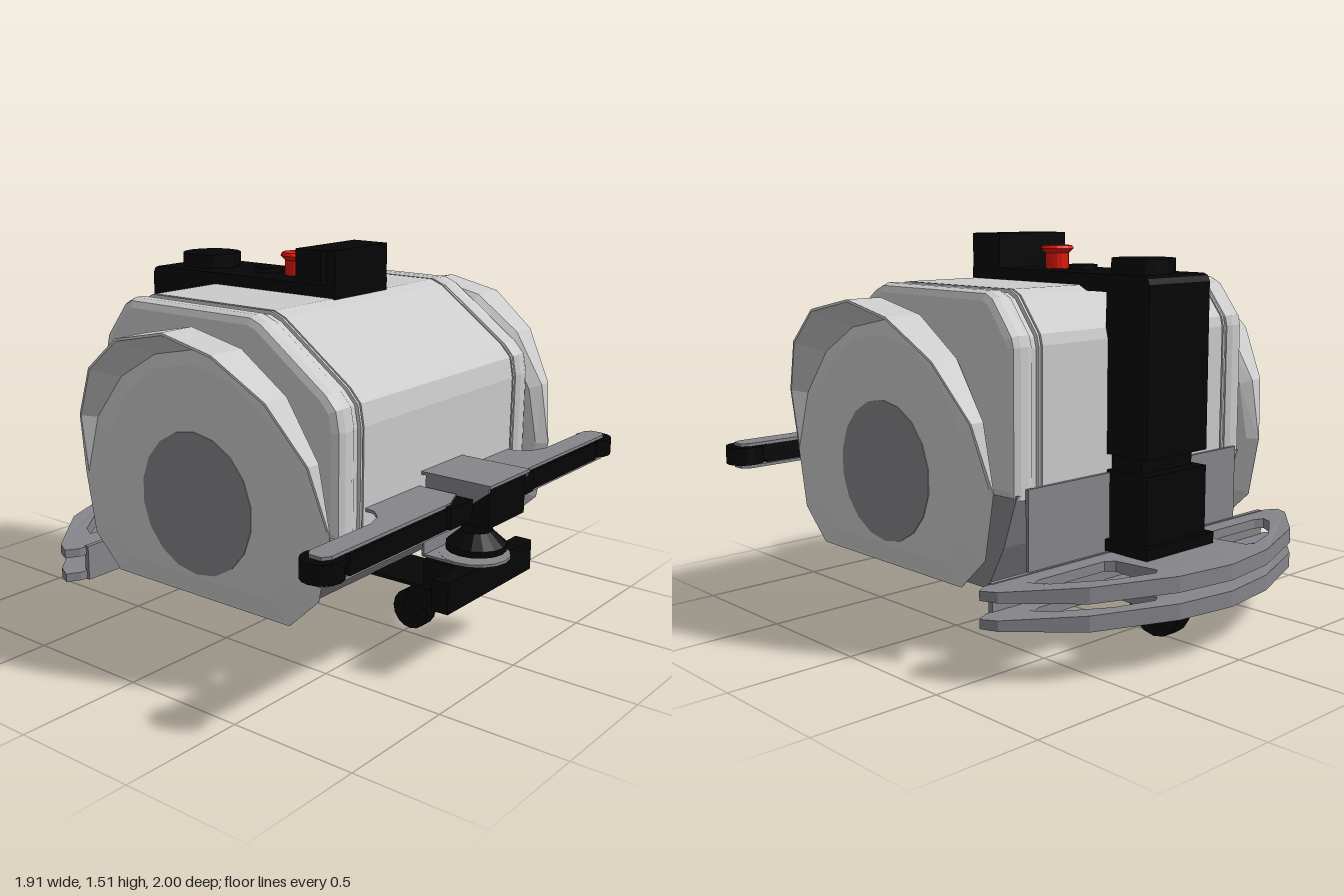
import * as THREE from 'three';

const mat = (color) => new THREE.MeshStandardMaterial({ color, flatShading: true, side: THREE.DoubleSide });
const LIGHT = mat(0xcccccc), GREY = mat(0x85858b), BLACK = mat(0x050505), RED = mat(0xe01808);

export function createModel() {
  const root = new THREE.Group();
  const add = (name, geo, m) => {
    const mesh = new THREE.Mesh(geo, m);
    mesh.name = name;
    root.add(mesh);
    return mesh;
  };
  // Box given by its limits
  const box = (name, m, x0, x1, y0, y1, z0, z1) =>
    add(name, new THREE.BoxGeometry(x1 - x0, y1 - y0, z1 - z0)
      .translate((x0 + x1) / 2, (y0 + y1) / 2, (z0 + z1) / 2), m);
  // Upright cylinder given by its base and top
  const post = (name, m, x, z, y0, y1, r) =>
    add(name, new THREE.CylinderGeometry(r, r, y1 - y0, 16).translate(x, (y0 + y1) / 2, z), m);
  // Turned part from [radius, height] points
  const turned = (name, m, x, pts) =>
    add(name, new THREE.LatheGeometry(pts.map(([r, y]) => new THREE.Vector2(r, y)), 16).translate(x, 0, 0), m);
  const polygon = (pts) => new THREE.Shape(pts.map(([x, y]) => new THREE.Vector2(x, y)));
  // Side profile pushed along z, with bevels kept inside the limits
  const slab = (name, m, pts, z0, z1, bevel = 0) => {
    const g = new THREE.ExtrudeGeometry(polygon(pts), {
      depth: z1 - z0 - 2 * bevel, bevelEnabled: bevel > 0, bevelThickness: bevel,
      bevelSize: bevel, bevelOffset: -bevel, bevelSegments: 2,
    });
    return add(name, g.translate(0, 0, z0 + bevel), m);
  };
  // Flat plate drawn in plan, pushed upwards
  const plate = (name, m, pts, y0, y1, holes = []) => {
    const s = polygon(pts);
    s.holes = holes.map((h) => new THREE.Path(h.map(([x, y]) => new THREE.Vector2(x, y))));
    const g = new THREE.ExtrudeGeometry(s, { depth: y1 - y0, bevelEnabled: false });
    return add(name, g.rotateX(-Math.PI / 2).translate(0, y0, 0), m);
  };

  // Body shell: main block, grooves, bands and rounded end caps
  const upper = [[-0.49, 0.6], [0.66, 0.58], [0.66, 0.97], [0.645, 1.05], [0.6, 1.1],
    [0.31, 1.31], [0.26, 1.33], [-0.34, 1.33], [-0.38, 1.31], [-0.48, 1.18], [-0.49, 1.14]];
  const lower = [[-0.49, 0.62], [-0.42, 0.42], [-0.33, 0.25], [0.07, 0.25], [0.08, 0.265], [0.44, 0.27], [0.66, 0.58]];
  const grooved = upper.map(([x, y]) => [0.085 + (x - 0.085) * 0.975, 0.9 + (y - 0.9) * 0.97]);
  slab('bodyShell', LIGHT, upper, -0.497, 0.497);
  slab('bodyGroove', LIGHT, grooved, -0.56, 0.56);
  slab('underbody', GREY, lower, -0.62, 0.62);
  for (const s of [1, -1]) {
    const band = slab('bodyBand', LIGHT, upper, 0.505, 0.515);
    const cap = slab('bodyEndCap', LIGHT, upper, 0.53, 0.635, 0.035);
    band.scale.z = cap.scale.z = s;
  }

  // Side discs with a lip that flares out around the upper half
  const N = 16, rings = [
    [() => 0, () => 0.71], [() => 0.93, () => 0.71], [() => 1, (f) => 0.74 + 0.015 * f],
    [() => 1, (f) => 0.742 + 0.163 * f], [() => 0.985, (f) => 0.743 + 0.162 * f],
    [(f) => 0.97 - 0.1 * f, () => 0.743], [() => 0.79, () => 0.755], [() => 0, () => 0.755],
  ];
  const pos = [], idx = [];
  rings.forEach(([scale, depth], i) => {
    for (let j = 0; j <= N; j++) {
      const a = (j / N) * Math.PI * 2;
      const dx = 0.605 * Math.cos(a), dy = Math.max(0.64 * Math.sin(a), -0.37);
      const f = THREE.MathUtils.clamp((dy - 0.02) / 0.57, 0, 1) ** 1.1, k = scale(f);
      pos.push(0.1 + dx * k, 0.65 + dy * k, depth(f));
      if (i && j) {
        const q = i * (N + 1) + j, p = q - N - 1;
        idx.push(p - 1, p, q, p - 1, q, q - 1);
      }
    }
  });
  const disc = new THREE.BufferGeometry();
  disc.setAttribute('position', new THREE.Float32BufferAttribute(pos, 3));
  disc.setIndex(idx);
  disc.computeVertexNormals();
  for (const s of [1, -1]) add('sideDisc', disc, LIGHT).scale.z = s;
  add('hub', new THREE.CylinderGeometry(0.27, 0.27, 1.516, 18).rotateX(Math.PI / 2).translate(0.1, 0.64, 0), GREY);

  // Control housing over the top and down the back
  slab('housing', BLACK, [[-0.69, 0.71], [-0.48, 0.71], [-0.48, 1.31], [0.27, 1.31], [0.27, 1.375],
    [-0.66, 1.375], [-0.68, 1.367], [-0.69, 1.345]], -0.167, 0.167);
  box('housingNeck', BLACK, -0.64, -0.48, 0.64, 0.72, -0.14, 0.14);
  box('lowerHousing', BLACK, -0.69, -0.49, 0.34, 0.65, -0.167, 0.167);
  box('lowerColumn', BLACK, -0.58, -0.46, 0.33, 0.66, -0.1, 0.1);
  box('casterPlate', BLACK, -0.715, -0.5, 0.345, 0.39, -0.19, 0.19);
  post('largeKnob', BLACK, -0.51, 0, 1.37, 1.43, 0.12);
  post('smallKnob', BLACK, -0.195, 0, 1.37, 1.395, 0.055);
  box('switchBox', BLACK, 0.11, 0.27, 1.32, 1.51, -0.165, 0.165);
  box('switchBoxSide', BLACK, 0.11, 0.23, 1.38, 1.51, 0.16, 0.2);
  turned('stopButton', RED, -0.05, [[0, 1.37], [0.047, 1.37], [0.047, 1.435], [0.065, 1.453], [0.058, 1.465], [0, 1.468]]);

  // Back bumper: two pierced plates that thin towards the body, on a mounting panel
  const half = [[-0.96, 0], [-0.925, 0.25], [-0.8, 0.57], [-0.6, 0.81], [-0.54, 0.84], [-0.51, 0.79], [-0.5, 0.7]];
  const flip = (pts) => pts.map(([x, z]) => [x, -z]);
  const outline = [...half, ...flip(half.slice(1)).reverse()];
  const hole = [[-0.82, 0.25], [-0.84, 0.28], [-0.79, 0.44], [-0.66, 0.62], [-0.61, 0.65], [-0.59, 0.61], [-0.59, 0.28], [-0.62, 0.25]];
  for (const y of [0.19, 0.29]) {
    const p = plate('backBumper', GREY, outline, y, y + 0.06, [hole, flip(hole)]).geometry.attributes.position;
    for (let i = 0; i < p.count; i++) {
      const thin = THREE.MathUtils.smoothstep(p.getX(i), -0.85, -0.5) * 0.45;
      p.setY(i, THREE.MathUtils.lerp(p.getY(i), y + 0.03, thin));
    }
  }
  box('bumperSpacer', GREY, -0.515, -0.495, 0.2, 0.34, -0.76, 0.76);
  box('mountPanel', GREY, -0.505, -0.491, 0.2, 0.64, -0.58, 0.58);

  // Casters
  const caster = (x, y, r, w) =>
    add('casterWheel', new THREE.CylinderGeometry(r, r, w, 16).rotateX(Math.PI / 2).translate(x, y, 0), BLACK);
  caster(-0.615, 0.13, 0.13, 0.065);
  caster(0.55, 0.115, 0.08, 0.06);
  slab('backFork', BLACK, [[-0.7, 0.35], [-0.48, 0.35], [-0.48, 0.22], [-0.52, 0.19], [-0.6, 0.1], [-0.66, 0.14]], -0.045, 0.045);
  slab('frontFork', BLACK, [[0.52, 0.12], [0.57, 0.09], [0.66, 0.17], [0.66, 0.27], [0.57, 0.27], [0.55, 0.2]], -0.04, 0.04);

  // Front bracket and clamp knob
  plate('bracketFoot', BLACK, [[0.28, -0.13], [0.82, -0.12], [0.82, 0.12], [0.28, 0.13]], 0.26, 0.272);
  box('bracketBlock', BLACK, 0.68, 0.86, 0.27, 0.39, -0.14, 0.14);
  box('bracketBar', BLACK, 0.82, 0.89, 0.27, 0.39, -0.295, 0.295);
  box('clampLowerPlate', GREY, 0.67, 0.815, 0.395, 0.405, -0.135, 0.135);
  post('clampLowerDisc', GREY, 0.815, 0, 0.395, 0.406, 0.135);
  box('clampBackPlate', GREY, 0.67, 0.68, 0.4, 0.57, -0.14, 0.14);
  turned('clampKnob', BLACK, 0.82, [[0, 0.39], [0.035, 0.39], [0.035, 0.425], [0.115, 0.425], [0.115, 0.45],
    [0.06, 0.5], [0.06, 0.54], [0.105, 0.56], [0, 0.57]]);
  box('clampBody', BLACK, 0.74, 0.945, 0.56, 0.715, -0.125, 0.125);
  box('clampCover', GREY, 0.66, 0.955, 0.715, 0.727, -0.14, 0.14);
  for (const s of [1, -1]) {
    slab('clampCheek', GREY, [[0.68, 0.58], [0.8, 0.58], [0.95, 0.7], [0.95, 0.72], [0.68, 0.72]], s * 0.135 - 0.005, s * 0.135 + 0.005);
  }

  // Front bumper bar: grey plates sandwiching a black strip, with round ends
  const arm = [[0.62, 0.15], [0.62, 0.48], [0.7, 0.49], [0.745, 0.53], [0.77, 0.6], [0.77, 0.93], [0.79, 0.96],
    [0.84, 0.96], [0.86, 0.93], [0.86, 0.25], [0.82, 0.15]];
  const corner = [[0.76, 0.15], [0.76, 0.17], [0.87, 0.29], [0.89, 0.29], [0.89, 0.15]];
  for (const s of [1, -1]) {
    const side = (pts) => (s > 0 ? pts : flip(pts));
    plate('bumperTopPlate', GREY, side(arm), 0.662, 0.674);
    plate('bumperBottomPlate', GREY, side(arm), 0.572, 0.584);
    box('bumperStrip', BLACK, 0.775, 0.872, 0.586, 0.661, s * 0.51 - 0.34, s * 0.51 + 0.34);
    box('bumperTip', BLACK, 0.775, 0.86, 0.595, 0.66, s * 0.89 - 0.06, s * 0.89 + 0.06);
    plate('bumperCorner', BLACK, side(corner), 0.59, 0.668);
    post('bumperEnd', BLACK, 0.818, s * 0.925, 0.59, 0.661, 0.075);
  }
  return root;
}
